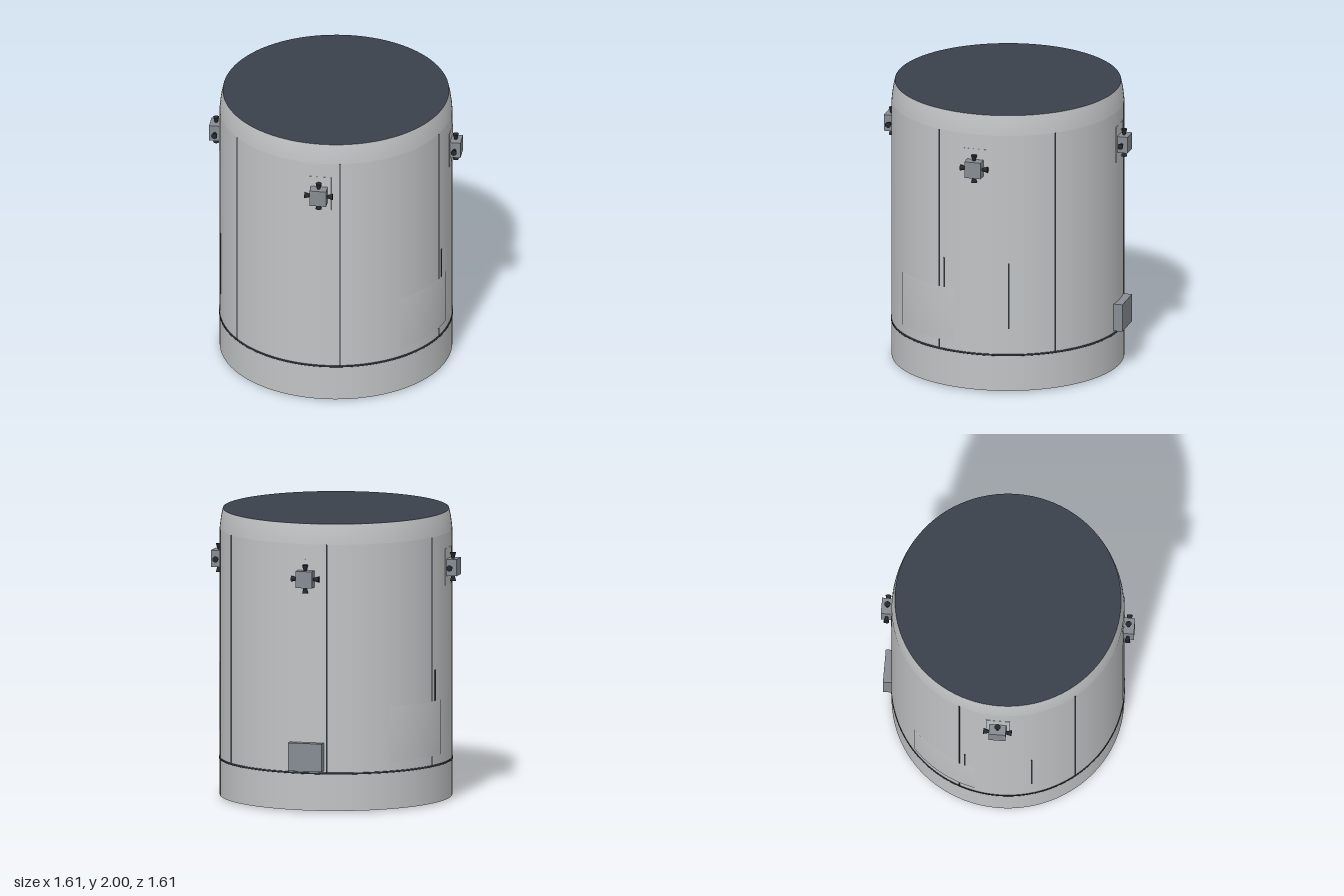
import * as THREE from 'three';

const RAD = Math.PI / 180;
const R = 0.8;

function material(name, color) {
  const m = new THREE.MeshStandardMaterial({ color });
  m.name = name;
  return m;
}

export function createModel() {
  const hull = material('hull grey', 0xc0c3c4);
  const dark = material('dark slate', 0x3a414b);
  const seamMat = material('seam black', 0x2b3036);
  const metal = material('thruster grey', 0x868c92);
  const nozzleMat = material('nozzle black', 0x24282e);
  const panelMat = material('panel grey', 0xc0c3c4);
  panelMat.side = THREE.DoubleSide;

  const model = new THREE.Group();
  const add = (parent, name, geometry, mat, x = 0, y = 0, z = 0) => {
    const mesh = new THREE.Mesh(geometry, mat);
    mesh.name = name;
    mesh.position.set(x, y, z);
    parent.add(mesh);
    return mesh;
  };
  // Group turned so that its local +z points outward at the given angle
  const around = (name, degrees) => {
    const g = new THREE.Group();
    g.name = name;
    g.rotation.y = degrees * RAD;
    model.add(g);
    return g;
  };
  const lathe = (points, start = 0, length = 360, segments = 96) =>
    new THREE.LatheGeometry(points.map(p => new THREE.Vector2(...p)), segments, start * RAD, length * RAD);

  // Hull: straight wall, tapering shoulder and closed ends
  add(model, 'hullWall', lathe([[R, 0.01], [R, 1.86]]), hull);
  add(model, 'shoulder', lathe([[R, 1.86], [0.796, 1.9], [0.789, 1.95], [0.778, 2]]), hull);
  add(model, 'topCap', new THREE.CircleGeometry(0.778, 96), dark, 0, 2, 0).rotation.x = -Math.PI / 2;
  add(model, 'bottomCap', new THREE.CircleGeometry(R, 96), dark, 0, 0.01, 0).rotation.x = Math.PI / 2;

  // Ring seam and six vertical seams
  add(model, 'ringSeam', lathe([[0.795, 0.264], [0.805, 0.264], [0.805, 0.276], [0.795, 0.276]]), seamMat);
  for (let i = 0; i < 6; i++) {
    add(around('verticalSeam', 44 + i * 60), 'seamStrip',
      new THREE.BoxGeometry(0.01, 1.59, 0.0125), seamMat, 0, 1.065, 0.7963);
  }

  // Short dark rails, in pairs on opposite sides
  for (const a of [107, 140.5, 287, 320.5]) {
    add(around('rail', a), 'railStrip', new THREE.BoxGeometry(0.012, 0.475, 0.012), seamMat, 0, 0.6975, 0.7962);
  }

  // Curved access panels on opposite sides
  for (const a of [75.6, 255.6]) {
    add(model, 'accessPanel',
      lathe([[0.79, 0.34], [0.804, 0.34], [0.804, 0.72], [0.79, 0.72]], a, 36.6, 16), panelMat);
  }

  // Four thruster blocks, each with a backing plate and five nozzles
  const nozzle = new THREE.CylinderGeometry(0.021, 0.009, 0.044, 16);
  for (let i = 0; i < 4; i++) {
    const g = around('thruster', 33.8 + i * 90);
    add(g, 'backingPlate', new THREE.BoxGeometry(0.165, 0.255, 0.03), hull, 0, 1.628, 0.7855);
    add(g, 'thrusterBlock', new THREE.BoxGeometry(0.116, 0.116, 0.09), metal, 0, 1.622, 0.828);
    for (let k = 0; k < 4; k++) {
      const a = k * Math.PI / 2;
      const n = add(g, 'nozzle', nozzle, nozzleMat, -Math.sin(a) * 0.076, 1.622 + Math.cos(a) * 0.076, 0.832);
      n.rotation.z = a;
    }
  }

  // Equipment box low on the back
  add(around('equipmentBox', 214), 'boxBody', new THREE.BoxGeometry(0.24, 0.195, 0.1), metal, 0, 0.385, 0.803);

  // Small feet under the base
  for (let i = 0; i < 4; i++) {
    add(around('foot', 78.8 + i * 90), 'footDisc',
      new THREE.CylinderGeometry(0.016, 0.016, 0.012, 16), dark, 0, 0.006, 0.653);
  }
  return model;
}
